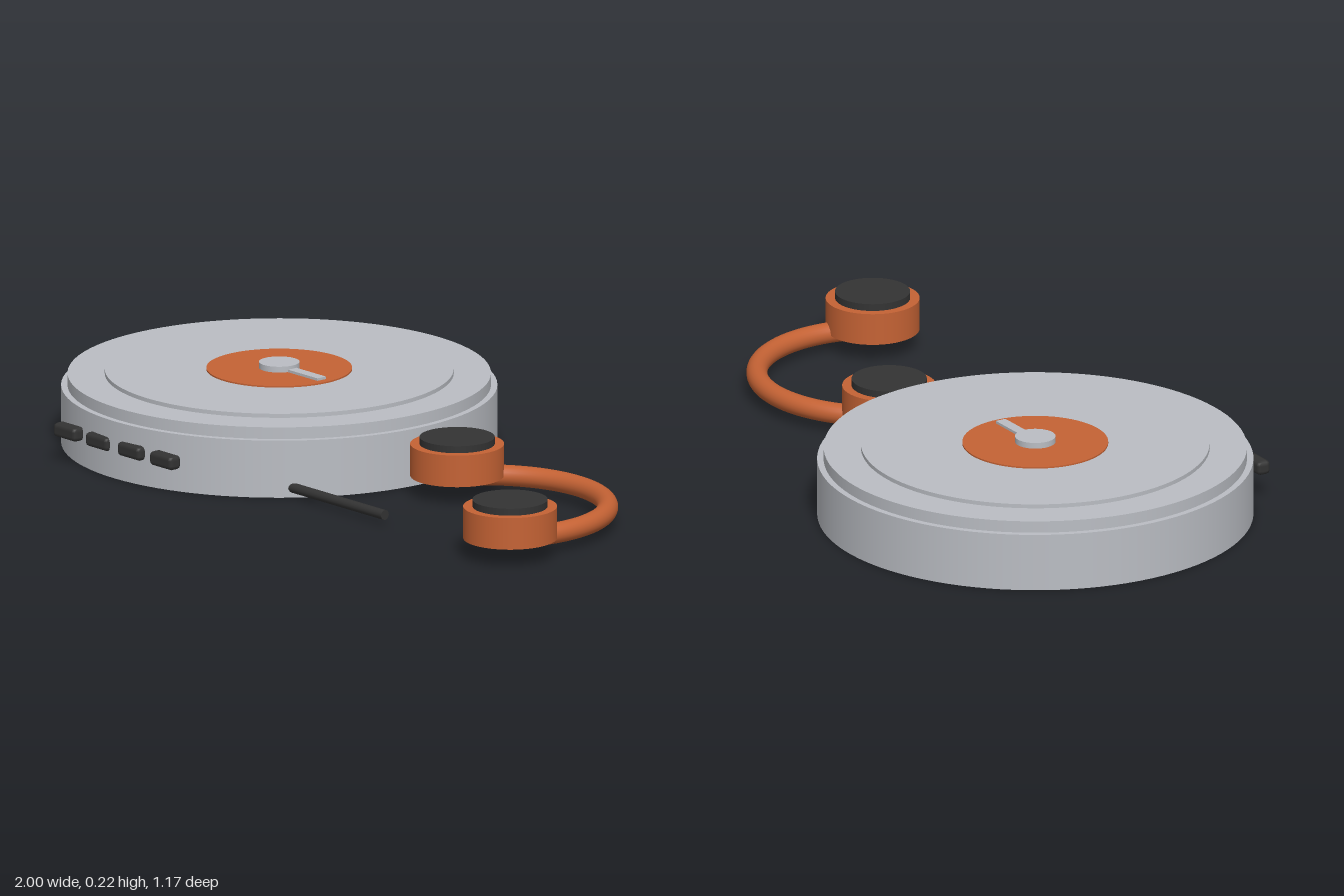
import * as THREE from 'three';
import { mergeGeometries } from 'three/addons/utils/BufferGeometryUtils.js';
import { RoundedBoxGeometry } from 'three/addons/geometries/RoundedBoxGeometry.js';

const material = (name, color) => {
  const m = new THREE.MeshStandardMaterial({ color });
  m.name = name;
  return m;
};

export function createModel() {
  const silver = material('silver', 0xbabdc3);
  const orange = material('orange', 0xc46234);
  const black = material('black', 0x333333);
  const model = new THREE.Group();
  model.name = 'discPlayerWithHeadphones';

  const add = (parent, name, geometry, mat, x = 0, y = 0, z = 0) => {
    const mesh = new THREE.Mesh(geometry, mat);
    mesh.name = name;
    mesh.position.set(x, y, z);
    parent.add(mesh);
    return mesh;
  };
  // upright disc between two heights
  const disc = (parent, name, mat, r, y0, y1, x = 0, z = 0) =>
    add(parent, name, new THREE.CylinderGeometry(r, r, y1 - y0, 96), mat, x, (y0 + y1) / 2, z);

  // Player: stacked round body, lid, label and hub
  const player = new THREE.Group();
  player.name = 'player';
  player.position.set(-0.42, 0, -0.005);
  model.add(player);
  disc(player, 'body', silver, 0.58, 0, 0.157);
  disc(player, 'lid', silver, 0.563, 0.157, 0.189);
  disc(player, 'lidPlate', silver, 0.464, 0.189, 0.2);
  disc(player, 'label', orange, 0.194, 0.2, 0.204);
  disc(player, 'hub', silver, 0.054, 0.204, 0.22);
  add(player, 'pointer', new THREE.BoxGeometry(0.14, 0.007, 0.03), silver, 0.102, 0.2075, 0);

  // Control buttons along the front
  for (let i = 0; i < 4; i++) {
    add(model, 'button', new RoundedBoxGeometry(0.093, 0.04, 0.04, 1, 0.013), black,
      -0.42 + (i - 1.5) * 0.13, 0.088, 0.566);
  }

  // Cable leaving the side of the body
  const cable = add(model, 'cable', new THREE.CylinderGeometry(0.0135, 0.0135, 0.39, 16), black, 0.215, 0.026, 0.343);
  cable.rotation.z = Math.PI / 2;

  // Headphones: two cups with pads, joined by a half-ring band
  const headphones = new THREE.Group();
  headphones.name = 'headphones';
  model.add(headphones);
  const cups = [[0.296, -0.01], [0.875, 0.306]];
  for (const [x, z] of cups) {
    disc(headphones, 'earCup', orange, 0.125, 0.051, 0.138, x, z);
    disc(headphones, 'earPad', black, 0.1, 0.138, 0.157, x, z);
  }
  const [[ax, az], [bx, bz]] = cups;
  const radius = Math.hypot(bx - ax, bz - az) / 2;
  const endCap = (x) => new THREE.CircleGeometry(0.028, 24).rotateX(Math.PI / 2).translate(x, 0, 0);
  const band = mergeGeometries([
    new THREE.TorusGeometry(radius, 0.028, 24, 72, Math.PI),
    endCap(radius),
    endCap(-radius),
  ]);
  band.rotateZ(Math.atan2(bz - az, bx - ax) - Math.PI).rotateX(Math.PI / 2);
  add(headphones, 'headband', band, orange, (ax + bx) / 2, 0.05, (az + bz) / 2);

  return model;
}
